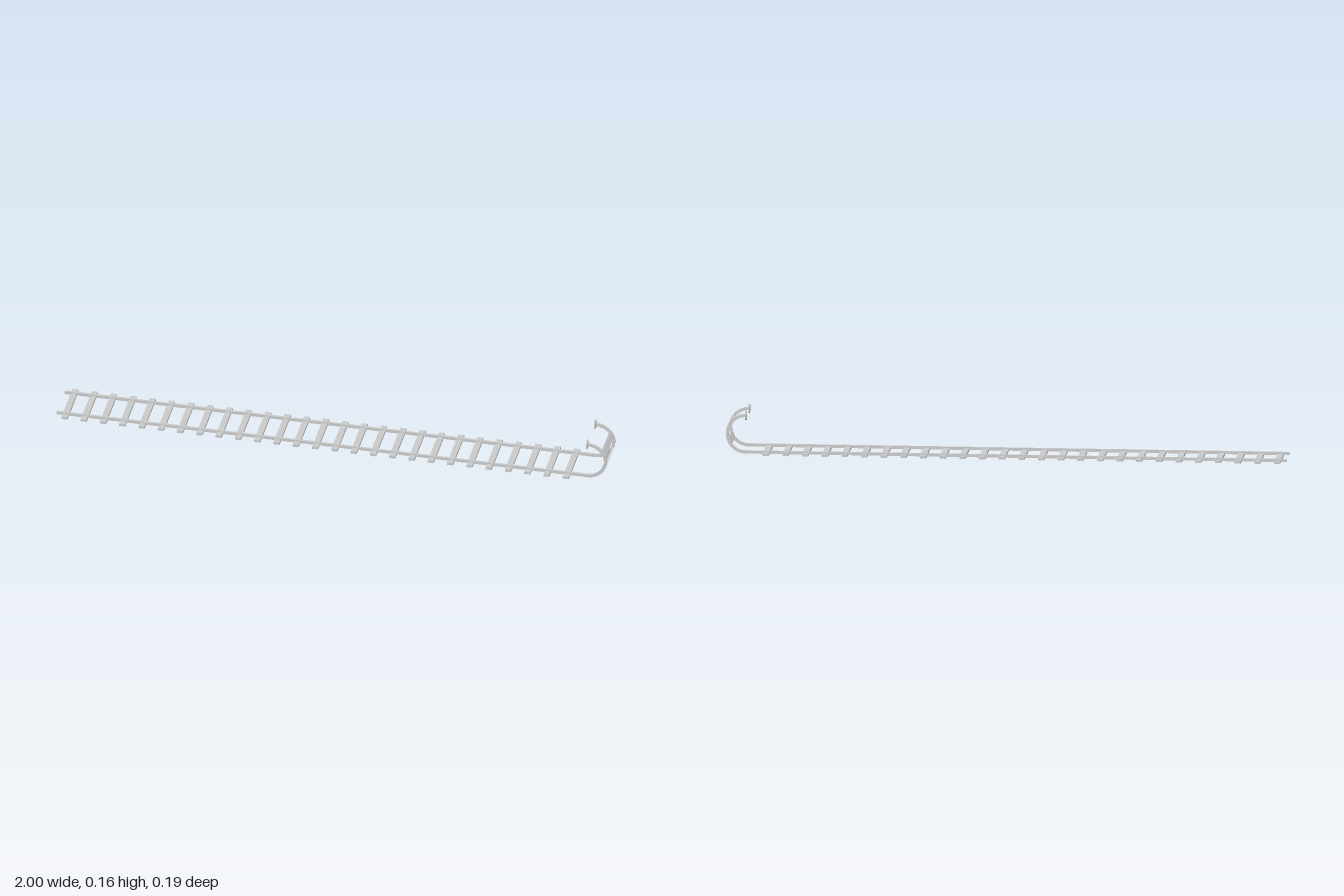
import * as THREE from 'three';
import { toCreasedNormals } from 'three/addons/utils/BufferGeometryUtils.js';

const material = new THREE.MeshStandardMaterial({ color: 0xcccccc });
const GAUGE = 0.0675;                     // rail offset from the centre line
const RAIL_W = 0.008, RAIL_H = 0.0105;
const BEND = { x: 0.929, y: 0.074, r: 0.0657 };  // upturned end of the track

function add(parent, name, geometry, x = 0, y = 0, z = 0) {
  const mesh = new THREE.Mesh(geometry, material);
  mesh.name = name;
  mesh.position.set(x, y, z);
  parent.add(mesh);
  return mesh;
}

// Side outline of a rail: a long straight run ending in a half circle
function railGeometry() {
  const outer = BEND.r + RAIL_H / 2, inner = BEND.r - RAIL_H / 2;
  const shape = new THREE.Shape();
  shape.moveTo(-1, BEND.y - outer);
  shape.lineTo(BEND.x, BEND.y - outer);
  shape.absarc(BEND.x, BEND.y, outer, -Math.PI / 2, Math.PI / 2, false);
  shape.lineTo(BEND.x, BEND.y + inner);
  shape.absarc(BEND.x, BEND.y, inner, Math.PI / 2, -Math.PI / 2, true);
  shape.lineTo(-1, BEND.y - inner);
  shape.closePath();
  const g = new THREE.ExtrudeGeometry(shape, { depth: RAIL_W, bevelEnabled: false, curveSegments: 24 });
  g.translate(0, 0, -RAIL_W / 2);
  return toCreasedNormals(g, 0.6);
}

// Bulging rounded-square plate, facing -x
function stopPlateGeometry() {
  const points = [];
  for (let i = 0; i < 32; i++) {
    const a = (i / 32) * Math.PI * 2, c = Math.cos(a), s = Math.sin(a);
    points.push(new THREE.Vector2(
      0.0125 * Math.sign(c) * Math.abs(c) ** 0.6,
      0.0145 * Math.sign(s) * Math.abs(s) ** 0.6));
  }
  const g = new THREE.ExtrudeGeometry(new THREE.Shape(points), {
    depth: 0.002, bevelThickness: 0.0015, bevelSize: 0.0015, bevelSegments: 2,
  });
  g.rotateY(-Math.PI / 2);
  return toCreasedNormals(g, 0.6);
}

export function createModel() {
  const track = new THREE.Group();
  track.name = 'railwayTrack';

  // Sleepers
  const sleepers = new THREE.Group();
  sleepers.name = 'sleepers';
  track.add(sleepers);
  const sleeper = new THREE.BoxGeometry(0.022, 0.009, 0.188);
  for (let i = 0; i < 27; i++) add(sleepers, 'sleeper', sleeper, -0.967 + i * 0.0701, 0.0045, 0);

  // Rails with a stop plate on each raised tip
  const rail = railGeometry(), stopPlate = stopPlateGeometry();
  for (const side of [1, -1]) {
    const name = side > 0 ? 'front' : 'back';
    add(track, name + 'Rail', rail, 0, 0, side * GAUGE);
    add(track, name + 'StopPlate', stopPlate, BEND.x, BEND.y + BEND.r, side * GAUGE);
  }

  // Two cross bars following the bend
  const bar = new THREE.BoxGeometry(0.009, 0.022, 2 * GAUGE - RAIL_W);
  for (const side of [1, -1]) {
    const a = side * 0.485;
    const mesh = add(track, side > 0 ? 'upperCrossBar' : 'lowerCrossBar', bar,
      BEND.x + BEND.r * Math.cos(a), BEND.y + BEND.r * Math.sin(a), 0);
    mesh.rotation.z = a;
  }
  return track;
}
